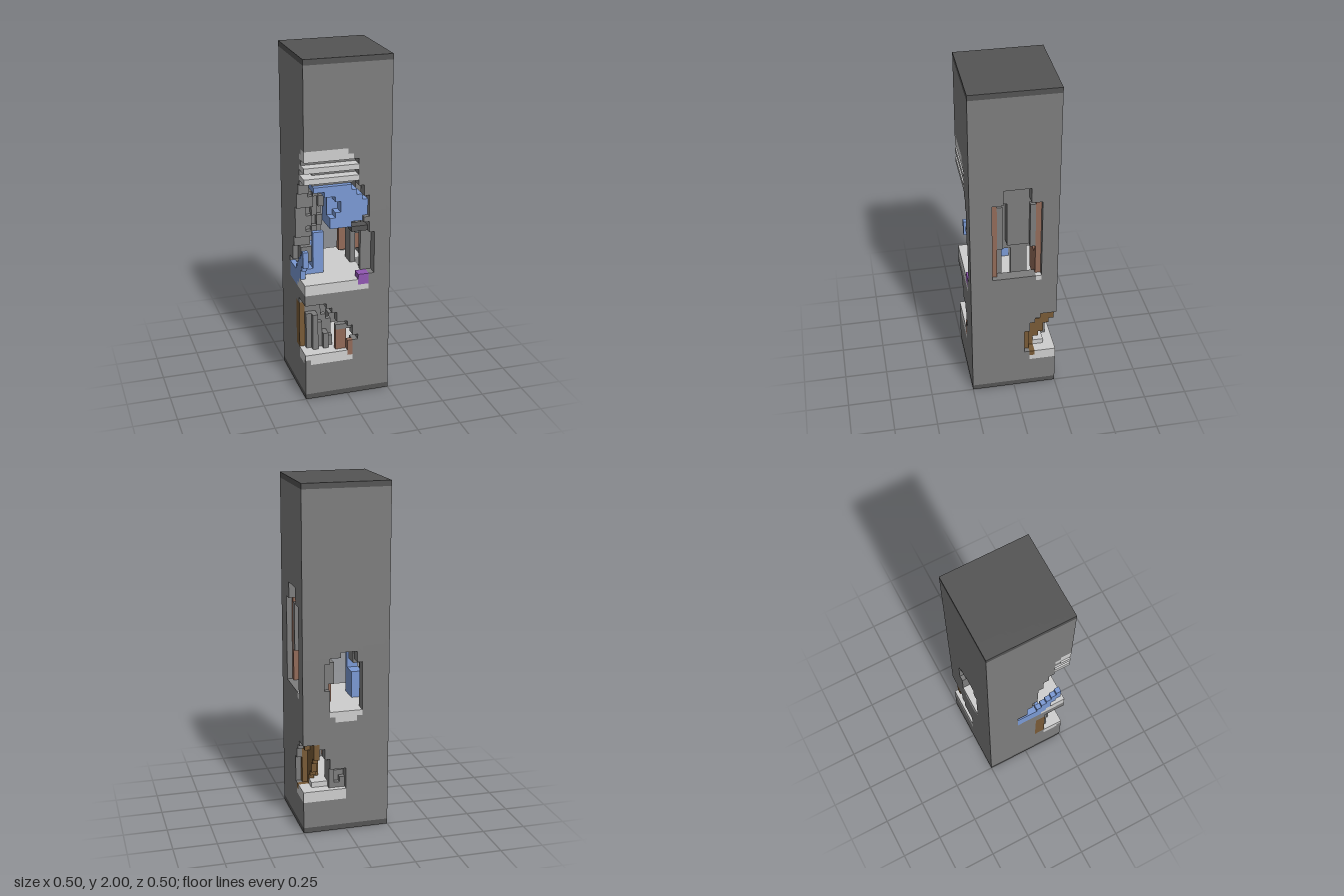
import * as THREE from 'three';

// Block grid: 16 wide, 64 tall, 16 deep. d counts blocks back from the front face.
const W = 16, H = 64, U = 1 / 32;

const mat = (name, color) => {
  const m = new THREE.MeshStandardMaterial({ color });
  m.name = name;
  return m;
};

export function createModel() {
  const stone = mat('stone', 0x7d7d7d), dark = mat('dark stone', 0x545454), light = mat('pale slab', 0xcecece);
  const blue = mat('blue', 0x7a99d4), wood = mat('brown wood', 0x785a36);
  const clay = mat('red brown', 0x926a58), purple = mat('purple', 0x9056b2);
  const parts = {
    towerWalls: stone, rubble: stone, windowPanel: stone, endCaps: dark, darkBeam: dark,
    floorSlabs: light, ceilingRibs: light, hangingDrape: blue, blueColumn: blue, blueTail: blue,
    woodPlate: wood, woodLining: wood, windowJambs: clay, plank: clay, clayBlocks: clay, purpleBlock: purple,
  };
  const cells = new Array(W * H * W).fill(null);
  const index = (i, j, d) => (j * W + d) * W + i;
  const get = (i, j, d) =>
    i < 0 || j < 0 || d < 0 || i >= W || j >= H || d >= W ? null : cells[index(i, j, d)];
  // Fills inclusive ranges of blocks; null carves them away.
  const box = (part, [i0, i1], [j0, j1], [d0, d1]) => {
    for (let j = j0; j <= j1; j++)
      for (let d = d0; d <= d1; d++)
        for (let i = i0; i <= i1; i++) cells[index(i, j, d)] = part;
  };

  // Solid shaft with dark ends and two hollow rooms
  box('towerWalls', [0, 15], [0, 63], [0, 15]);
  box('endCaps', [0, 15], [0, 0], [0, 15]);
  box('endCaps', [0, 15], [63, 63], [0, 15]);
  box(null, [2, 13], [9, 20], [2, 13]);
  box(null, [2, 13], [23, 40], [2, 13]);

  // Upper broken corner: width along the front and depth along the side, per row from 23 up
  const upFront = [12, 13, 13, 13, 13, 13, 13, 13, 13, 12, 12, 11, 12, 12, 12, 12, 11, 11, 10, 10, 10, 10, 10];
  const upSide = [10, 10, 8, 8, 8, 7, 7, 6, 6, 6, 6, 6, 6, 5, 5, 5, 4, 4, 3, 3, 3, 2, 2];
  upFront.forEach((n, r) => {
    box(null, [0, n - 1], [23 + r, 23 + r], [0, 1]);
    box(null, [0, 1], [23 + r, 23 + r], [0, upSide[r] - 1]);
  });
  // Lower broken corner, rows from 9 up
  [9, 9, 10, 9, 9, 8, 6, 6, 5, 4].forEach((n, r) => {
    box(null, [0, n - 1], [9 + r, 9 + r], [0, 1]);
    box(null, [0, 1], [9 + r, 9 + r], [0, 3]);
  });

  // Slabs at the broken edges
  box('floorSlabs', [0, 11], [21, 22], [0, 9]);
  box('floorSlabs', [2, 13], [21, 22], [10, 13]);
  box('floorSlabs', [0, 8], [8, 8], [0, 3]);
  box('floorSlabs', [1, 8], [7, 7], [0, 3]);
  box('floorSlabs', [0, 0], [7, 7], [1, 3]);
  box('floorSlabs', [2, 13], [7, 8], [2, 13]);
  box('ceilingRibs', [0, 8], [46, 46], [0, 2]);
  box('ceilingRibs', [0, 7], [47, 47], [0, 1]);
  for (const j of [42, 44]) box('ceilingRibs', [0, 9], [j, j], [0, 2]);

  // Hole in the back wall: [row, first, last]
  [[23, 5, 10], [24, 5, 10], [25, 5, 10], [26, 5, 10], [27, 5, 11], [28, 5, 11], [29, 5, 11],
    [30, 5, 11], [31, 5, 11], [32, 6, 10], [33, 6, 8]].forEach(([j, a, b]) => box(null, [a, b], [j, j], [14, 15]));
  box('floorSlabs', [5, 10], [22, 22], [14, 15]);
  box('floorSlabs', [6, 9], [21, 21], [14, 15]);
  box('rubble', [10, 11], [28, 31], [13, 14]);
  box('rubble', [11, 11], [24, 27], [13, 14]);

  // Broken back right corner: [row, first along back, first along side]
  [[8, 8, 10], [9, 8, 10], [10, 8, 10], [11, 8, 10], [12, 11, 10], [13, 11, 11], [14, 12, 11],
    [15, 12, 12], [16, 13, 13]].forEach(([j, a, d]) => {
    box(null, [a, 15], [j, j], [14, 15]);
    box(null, [14, 15], [j, j], [d, 15]);
  });
  box('floorSlabs', [8, 15], [6, 7], [14, 15]);
  box('floorSlabs', [14, 15], [6, 7], [11, 13]);
  // Wood lining behind the corner, per row from 8 up: last block along the side
  [11, 11, 12, 13, 13, 14, 15, 15, 15].forEach((d, r) => box('woodLining', [13, 13], [8 + r, 8 + r], [10, d]));
  box('woodLining', [12, 14], [8, 12], [10, 10]);
  box('woodLining', [13, 14], [8, 12], [9, 9]);
  box('woodLining', [13, 14], [13, 14], [10, 10]);
  box('woodLining', [13, 14], [15, 16], [11, 12]);
  box('woodLining', [12, 14], [17, 17], [13, 14]);
  box('woodLining', [14, 15], [7, 7], [11, 11]);
  [10, 10, 12].forEach((top, n) => {
    box('rubble', [8 + n, 8 + n], [8, top], [12, 13]);
    box('rubble', [8 + n, 8 + n], [8, top - 1 - (n % 2)], [14, 14]);
  });

  // Arched side window with jambs and a recessed panel
  box(null, [14, 15], [26, 41], [4, 12]);
  box(null, [14, 15], [42, 44], [6, 10]);
  for (const d of [4, 12]) box('windowJambs', [14, 14], [26, 41], [d, d]);
  box('windowPanel', [12, 13], [32, 42], [7, 10]);
  box('windowPanel', [11, 11], [30, 42], [5, 11]);
  for (const d of [5, 11]) box('windowPanel', [14, 14], [32, 40], [d, d]);
  box('windowPanel', [12, 13], [23, 31], [5, 5]);
  box('windowPanel', [11, 11], [23, 29], [8, 10]);
  box('windowPanel', [11, 12], [24, 31], [2, 2]);
  box('floorSlabs', [14, 15], [25, 25], [12, 12]);
  box('plank', [10, 13], [24, 29], [12, 12]);

  // Rubble hanging on the broken side wall
  for (let j = 30; j <= 40; j++) {
    const s = upSide[j - 23];
    for (let i = 0; i < 5; i++) box('rubble', [i, i], [j, j], [s + ((i + (j >> 1)) % 2), s + 3]);
  }
  box('rubble', [1, 2], [25, 30], [6, 7]);
  box(null, [0, 4], [28, 29], [6, 6]);

  // Blue drape under the ceiling: [row, first, last, back]
  [[40, 2, 8, 3], [39, 4, 9, 3], [38, 6, 10, 3], [37, 7, 11, 2], [36, 7, 11, 2], [35, 6, 11, 2],
    [34, 5, 10, 3], [33, 5, 8, 3]].forEach(([j, a, b, d]) => box('hangingDrape', [a, b], [j, j], [1, d]));
  // Blue column standing on the floor
  box('blueColumn', [3, 4], [23, 27], [5, 8]);
  box('blueColumn', [3, 4], [28, 30], [5, 5]);
  box('blueColumn', [5, 6], [33, 38], [3, 5]);
  box('blueColumn', [1, 4], [23, 23], [5, 8]);
  // Blue tail curling down the side
  [[1, 26, 28], [2, 25, 27], [3, 23, 26], [4, 22, 25], [5, 21, 24], [6, 21, 23], [7, 21, 23], [8, 21, 23], [9, 21, 23]]
    .forEach(([d, a, b]) => box('blueTail', [0, 0], [a, b], [d, d]));

  // Small blocks in the upper opening
  box('darkBeam', [9, 11], [32, 32], [1, 2]);
  box('purpleBlock', [10, 11], [22, 23], [0, 1]);

  // Lower room contents
  box('woodPlate', [0, 2], [9, 17], [4, 5]);
  [18, 18, 16, 14, 13].forEach((top, n) => {
    box('rubble', [1 + n, 1 + n], [9, top - 3], [3 - (n % 2), 3]);
    box('rubble', [1 + n, 1 + n], [9, top], [4, 4]);
  });
  box('rubble', [6, 8], [13, 13], [1, 1]);
  box('clayBlocks', [6, 7], [9, 12], [1, 1]);
  box('clayBlocks', [8, 8], [8, 10], [0, 0]);

  // Turn every exposed block face into a quad of its part's mesh
  const dirs = [[1, 0, 0], [-1, 0, 0], [0, 1, 0], [0, -1, 0], [0, 0, 1], [0, 0, -1]];
  const data = {};
  for (const part in parts) data[part] = { pos: [], nor: [] };
  for (let j = 0; j < H; j++)
    for (let d = 0; d < W; d++)
      for (let i = 0; i < W; i++) {
        const part = get(i, j, d);
        if (!part) continue;
        const centre = [i + 0.5 - W / 2, j + 0.5, W / 2 - d - 0.5];
        for (const n of dirs) {
          if (get(i + n[0], j + n[1], d - n[2])) continue;
          const u = [n[1], n[2], n[0]], v = [n[2], n[0], n[1]];
          const s = -(n[0] + n[1] + n[2]); // keeps the winding outward
          for (const [a, b] of [[-1, -1], [1, -1], [1, 1], [-1, -1], [1, 1], [-1, 1]]) {
            for (let c = 0; c < 3; c++)
              data[part].pos.push((centre[c] + (n[c] + s * a * u[c] + b * v[c]) / 2) * U);
            data[part].nor.push(...n);
          }
        }
      }

  const group = new THREE.Group();
  group.name = 'ruinedTower';
  for (const part in parts) {
    const g = new THREE.BufferGeometry();
    g.setAttribute('position', new THREE.Float32BufferAttribute(data[part].pos, 3));
    g.setAttribute('normal', new THREE.Float32BufferAttribute(data[part].nor, 3));
    const mesh = new THREE.Mesh(g, parts[part]);
    mesh.name = part;
    group.add(mesh);
  }
  return group;
}
